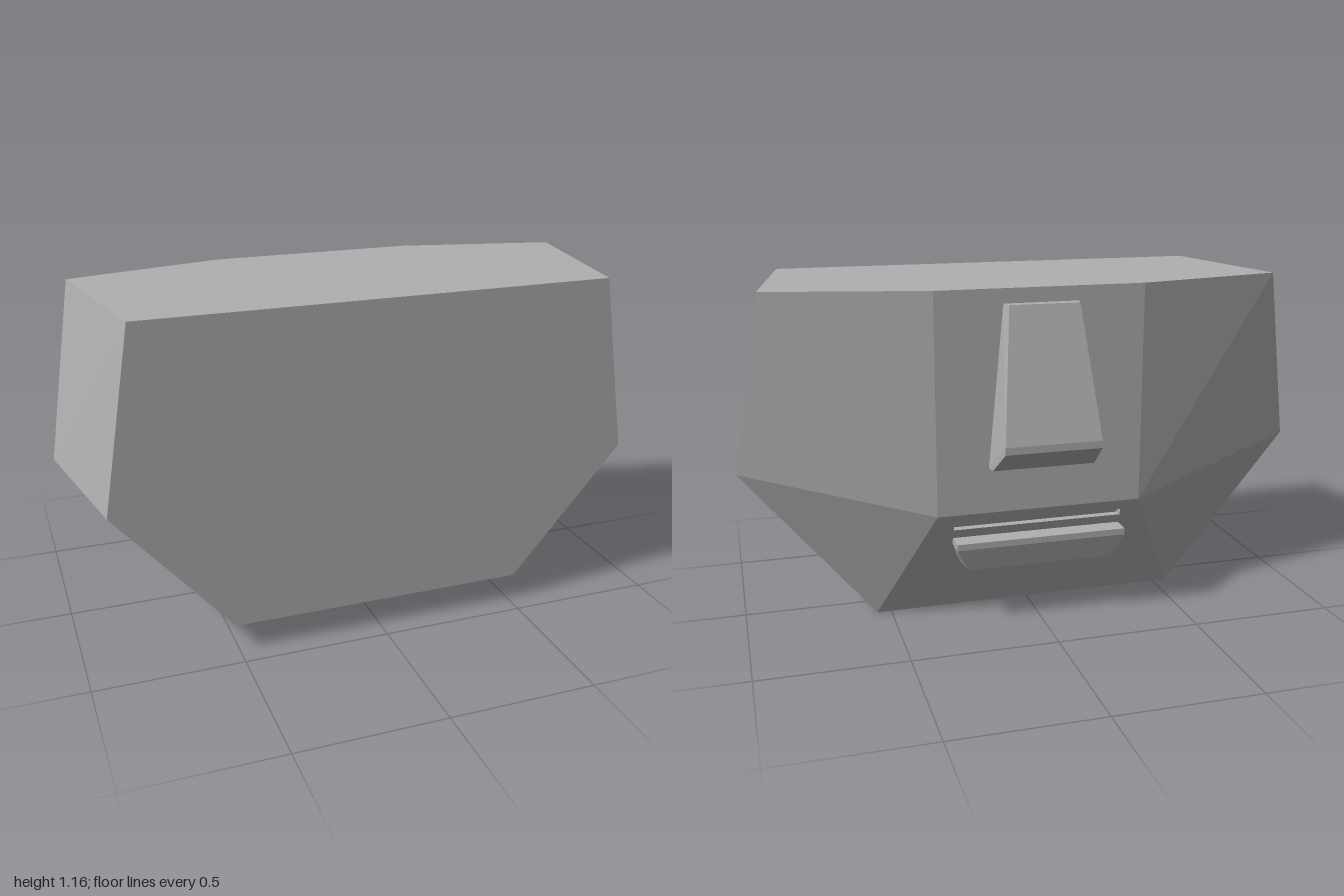
import * as THREE from 'three';
import { ConvexGeometry } from 'three/addons/geometries/ConvexGeometry.js';

// Flat polygons, each fanned from its first corner and turned away from
// (side = 1) or towards (side = -1) a centre point.
function facets(polygons, centre, side = 1) {
  const pos = [];
  for (const poly of polygons) {
    const p = poly.map((c) => new THREE.Vector3(...c));
    for (let i = 1; i < p.length - 1; i++) {
      const [a, b, c] = [p[0], p[i], p[i + 1]];
      const n = b.clone().sub(a).cross(c.clone().sub(a));
      const mid = a.clone().add(b).add(c).divideScalar(3).sub(centre);
      const tri = n.dot(mid) * side > 0 ? [a, b, c] : [a, c, b];
      tri.forEach((v) => pos.push(v.x, v.y, v.z));
    }
  }
  const g = new THREE.BufferGeometry();
  g.setAttribute('position', new THREE.Float32BufferAttribute(pos, 3));
  g.computeVertexNormals();
  return g;
}

// Convex block from the corners of one half, mirrored across x
function mirroredBlock(corners) {
  return new ConvexGeometry(corners.flatMap(([x, y, z]) =>
    [new THREE.Vector3(x, y, z), new THREE.Vector3(-x, y, z)]));
}

export function createModel() {
  const group = new THREE.Group();
  const grey = new THREE.MeshStandardMaterial({ color: 0xb0b0b0 });
  grey.name = 'plain grey';
  const add = (name, geometry) => {
    const mesh = new THREE.Mesh(geometry, grey);
    mesh.name = name;
    group.add(mesh);
  };

  // Half outline of the flat cut side, the widest ring and the face plate
  const f = [[0.8, 1.16, 0.435], [0.9, 0.55, 0.435], [0.51, 0.1, 0.435]];
  const m = [[0.9, 1.16, -0.155], [1, 0.55, -0.103], [0.55, 0, -0.103]];
  const b = [[0.36, 1.16, -0.28], [0.36, 0.4, -0.28]];
  const flip = ([x, y, z]) => [-x, y, z];
  const across = (list) => [...list, ...list.map(flip).reverse()];

  // Head shell: both cheeks, then the panels spanning the middle
  const side = [
    [f[0], f[1], m[1]], [f[0], m[1], m[0]],
    [f[1], f[2], m[2]], [f[1], m[2], m[1]],
    [m[0], m[1], b[1]], [m[0], b[1], b[0]],
    [m[1], m[2], b[1]],
  ];
  add('headShell', facets([
    ...side, ...side.map((p) => p.map(flip)),
    across(f), across([f[0], m[0], b[0]]), across([f[2], m[2]]), across(b),
  ], new THREE.Vector3(0, 0.6, 0.05)));

  // Sloping chin with the mouth slot cut through it
  const slope = (y) => -0.103 - 0.177 * y / 0.4;
  const w = 0.3, y0 = 0.338, y1 = 0.362, depth = 0.03;
  const chin = new THREE.Shape([[-0.55, 0], [0.55, 0], [0.36, 0.4], [-0.36, 0.4]]
    .map((c) => new THREE.Vector2(...c)));
  chin.holes.push(new THREE.Path([[-w, y0], [-w, y1], [w, y1], [w, y0]]
    .map((c) => new THREE.Vector2(...c))));
  const chinGeometry = new THREE.ShapeGeometry(chin);
  const cp = chinGeometry.attributes.position;
  for (let i = 0; i < cp.count; i++) cp.setXYZ(i, -cp.getX(i), cp.getY(i), slope(cp.getY(i)));
  chinGeometry.computeVertexNormals();
  add('chin', chinGeometry);

  // Inner walls of the mouth slot
  const rim = [[-w, y0], [w, y0], [w, y1], [-w, y1]].map(([x, y]) => [x, y, slope(y)]);
  const inner = rim.map(([x, y, z]) => [x, y, z + depth]);
  const walls = rim.map((p, i) => [p, rim[(i + 1) % 4], inner[(i + 1) % 4], inner[i]]);
  const yc = (y0 + y1) / 2;
  add('mouthSlot', facets([...walls, inner], new THREE.Vector3(0, yc, slope(yc) + depth / 2), -1));

  // Wedge nose
  add('nose', mirroredBlock([
    [0.13, 1.11, -0.275], [0.12, 1.11, -0.317],
    [0.165, 0.67, -0.435], [0.165, 0.645, -0.435],
    [0.178, 0.558, -0.317], [0.182, 0.558, -0.275],
  ]));

  // Lower lip, tapering downwards
  add('lowerLip', mirroredBlock([
    [0.3, 0.305, -0.22], [0.3, 0.305, -0.308],
    [0.3, 0.283, -0.21], [0.3, 0.283, -0.308],
    [0.255, 0.2, -0.287], [0.265, 0.19, -0.17],
  ]));

  return group;
}
